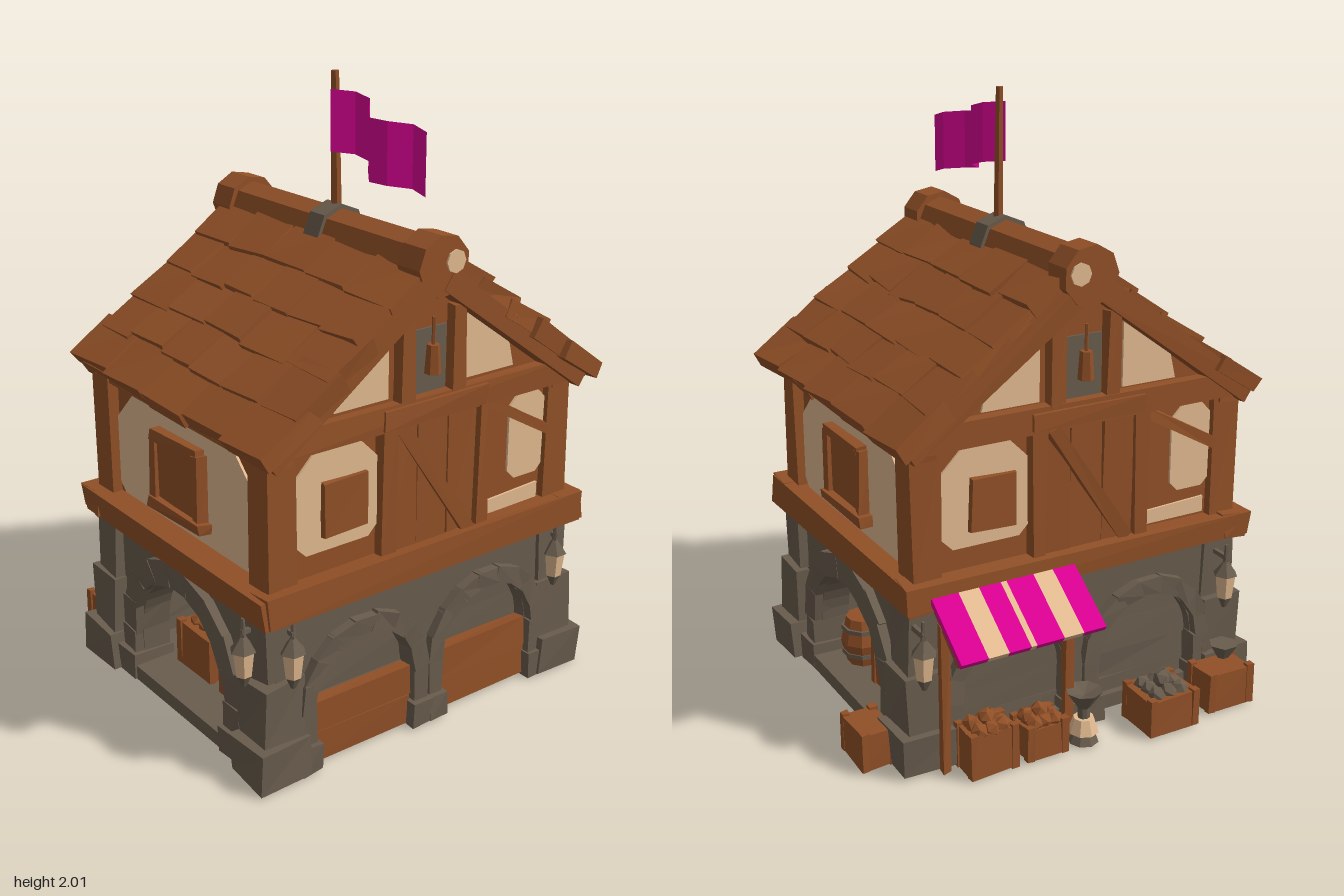
import * as THREE from 'three';

const mat = (name, color, side = THREE.FrontSide) => {
  const m = new THREE.MeshStandardMaterial({ color, side });
  m.name = name;
  return m;
};

export function createModel() {
  const wood = mat('wood', 0x915027), stone = mat('stone', 0x695c4d), cream = mat('plaster', 0xe2ba90);
  const pink = mat('magenta cloth', 0xd90092, THREE.DoubleSide);
  let seed = 7;
  const rnd = () => (seed = (seed * 16807) % 2147483647) / 2147483647;
  const jit = (a) => (rnd() - 0.5) * 2 * a;

  const group = (name, parent, x = 0, y = 0, z = 0, ry = 0) => {
    const g = new THREE.Group();
    g.name = name;
    g.position.set(x, y, z);
    g.rotation.y = ry;
    parent.add(g);
    return g;
  };
  const add = (name, parent, geo, m, x = 0, y = 0, z = 0, rx = 0, ry = 0, rz = 0) => {
    const flat = geo.index ? geo.toNonIndexed() : geo;
    flat.computeVertexNormals();
    const mesh = new THREE.Mesh(flat, m);
    mesh.name = name;
    mesh.position.set(x, y, z);
    mesh.rotation.set(rx, ry, rz);
    parent.add(mesh);
    return mesh;
  };
  // Hand-hewn box: each corner is nudged a little
  const box = (name, parent, m, w, h, d, x, y, z, rot = [0, 0, 0], wob = 0.005) => {
    const geo = new THREE.BoxGeometry(w, h, d), p = geo.attributes.position;
    const off = Array.from({ length: 8 }, () => [jit(wob), jit(wob), jit(wob)]);
    for (let i = 0; i < p.count; i++) {
      const o = off[(p.getX(i) > 0) + 2 * (p.getY(i) > 0) + 4 * (p.getZ(i) > 0)];
      p.setXYZ(i, p.getX(i) + o[0], p.getY(i) + o[1], p.getZ(i) + o[2]);
    }
    return add(name, parent, geo, m, x, y, z, ...rot);
  };
  const cyl = (name, parent, m, r1, r2, h, sides, x, y, z, rot = [0, 0, 0]) =>
    add(name, parent, new THREE.CylinderGeometry(r1, r2, h, sides), m, x, y, z, ...rot);
  const plate = (name, parent, m, pts, z, depth = 0.008) =>
    add(name, parent, new THREE.ExtrudeGeometry(
      new THREE.Shape(pts.map((p) => new THREE.Vector2(...p))), { depth, bevelEnabled: false }), m, 0, 0, z);
  // Rectangle with cut corners: c at the bottom, t at the top
  const octagon = (x0, x1, y0, y1, c, t) => [[x0 + c, y0], [x1 - c, y0], [x1, y0 + c], [x1, y1 - t],
    [x1 - t, y1], [x0 + t, y1], [x0, y1 - t], [x0, y0 + c]];

  const root = new THREE.Group();
  root.name = 'marketHouse';
  const house = group('house', root, 0.072, 0, 0.035);

  // Ground floor: arched walls, built facing local +z
  const archWall = (name, half, dist, ry, arches, r, spring, ringW) => {
    const g = group(name, house, 0, 0, 0, ry);
    const s = new THREE.Shape();
    s.moveTo(-half, 0);
    for (const c of arches) {
      s.lineTo(c - r, 0);
      s.lineTo(c - r, spring);
      s.absarc(c, spring, r, Math.PI, 0, true);
      s.lineTo(c + r, 0);
    }
    s.lineTo(half, 0);
    s.lineTo(half, 0.56);
    s.lineTo(-half, 0.56);
    add('wall', g, new THREE.ExtrudeGeometry(s, { depth: 0.1, bevelEnabled: false, curveSegments: 10 }), stone, 0, 0, dist - 0.1);
    for (const c of arches) {
      const n = 9, R = r + ringW / 2;
      for (let i = 0; i < n; i++) {
        const a = (i + 0.5) / n * Math.PI;
        box('archStone', g, stone, ringW, R * Math.PI / n + 0.02, 0.13, c + R * Math.cos(a), spring + R * Math.sin(a), dist - 0.035, [0, 0, a]);
      }
      for (const k of [-1, 1]) {
        box('jamb', g, stone, ringW, spring, 0.13, c + k * R, spring / 2, dist - 0.035);
        box('jambFoot', g, stone, ringW + 0.02, 0.09, 0.15, c + k * R, 0.045, dist - 0.03);
      }
    }
    return g;
  };
  for (const ry of [0, Math.PI]) archWall('mainArch', 0.48, 0.58, ry, [0], 0.265, 0.17, 0.08);
  for (const k of [-1, 1]) {
    const g = archWall('sideArches', 0.57, 0.49, k * Math.PI / 2, [-0.25, 0.25], 0.19, 0.21, 0.055);
    for (const c of [-0.25, 0.25]) {
      for (let i = 0; i < 4; i++) box('infillStone', g, stone, 0.4, 0.105, 0.06, c, 0.053 + i * 0.1, 0.42 + jit(0.006));
      for (let i = 0; k > 0 && i < 2; i++) box('plank', g, wood, 0.38, 0.105, 0.05, c, 0.055 + i * 0.105, 0.47);
    }
  }
  box('floor', house, stone, 0.96, 0.05, 1.24, 0, 0.026, 0, [0, 0, 0], 0);
  box('ceiling', house, wood, 0.96, 0.05, 1.14, 0, 0.53, 0, [0, 0, 0], 0);
  // Stepped corner piers
  for (const sx of [-1, 1]) for (const sz of [-1, 1])
    [[0.18, 0.13, 0, 0.54, 0.655], [0.15, 0.2, 0.13, 0.515, 0.63], [0.13, 0.22, 0.33, 0.5, 0.61]].forEach(([w, h, y, ex, ez]) =>
      box('cornerPier', house, stone, w, h, w, sx * (ex - w / 2), y + h / 2, sz * (ez - w / 2), [0, 0, 0], 0.008));

  // Upper floor: core, sill and top beams, posts
  box('upperWall', house, wood, 0.94, 0.5, 1.12, 0, 0.8, 0, [0, 0, 0], 0);
  for (const s of [-1, 1]) {
    box('sillBeam', house, wood, 1.06, 0.09, 0.1, 0, 0.585, s * 0.585, [0, 0, 0], 0.01);
    box('sillBeamSide', house, wood, 0.1, 0.09, 1.26, s * 0.485, 0.585, 0, [0, 0, 0], 0.01);
    box('topBeam', house, wood, 1.0, 0.06, 0.08, 0, 1.04, s * 0.555);
    box('topBeamSide', house, wood, 0.08, 0.08, 1.16, s * 0.47, 1.07, 0);
    for (const k of [-1, 1]) box('cornerPost', house, wood, 0.1, 0.46, 0.1, k * 0.445, 0.82, s * 0.545);
  }
  // Long faces: plaster and shuttered window
  for (const ry of [0, Math.PI]) {
    const g = group('longFace', house, 0, 0, 0, ry);
    plate('plaster', g, cream, octagon(-0.39, 0.39, 0.635, 1.025, 0.03, 0.13), 0.56);
    box('shutter', g, wood, 0.25, 0.23, 0.03, 0, 0.82, 0.575);
    box('lintel', g, wood, 0.26, 0.035, 0.05, 0, 0.93, 0.58);
    box('windowSill', g, wood, 0.3, 0.035, 0.06, 0.01, 0.70, 0.585);
    for (const k of [-1, 1]) box('shutterFrame', g, wood, 0.035, 0.24, 0.045, k * 0.125, 0.81, 0.58);
  }

  // Gable prism
  const tri = new THREE.Shape([[-0.57, 1.03], [0.57, 1.03], [0, 1.46]].map((p) => new THREE.Vector2(...p)));
  add('gable', house, new THREE.ExtrudeGeometry(tri, { depth: 0.94, bevelEnabled: false }), wood, -0.47, 0, 0, 0, Math.PI / 2);
  // Gable faces: panels, boarded door, hatch with hanging lamp
  for (const k of [-1, 1]) {
    const g = group('gableFace', house, 0, 0, 0, k * Math.PI / 2);
    plate('plasterWindowSide', g, cream, octagon(-0.49, -0.18, 0.7, 1.025, 0.04, 0.08), 0.47);
    box('window', g, wood, 0.16, 0.17, 0.03, -0.315, 0.835, 0.48);
    plate('plasterFar', g, cream, octagon(0.345, 0.5, 0.73, 1.02, 0.03, 0.04), 0.47);
    plate('plasterLow', g, cream, [[0.22, 0.635], [0.48, 0.635], [0.48, 0.69], [0.22, 0.68]], 0.47);
    for (let i = 0; i < 3; i++) box('doorBoard', g, wood, 0.115, 0.44, 0.03, -0.11 + i * 0.12, 0.84, 0.48);
    box('doorBrace', g, wood, 0.04, 0.5, 0.02, 0.02, 0.83, 0.502, [0, 0, 0.6]);
    box('doorLintel', g, wood, 0.4, 0.06, 0.06, 0.01, 1.07, 0.49);
    for (const u of [-0.165, 0.21]) box('doorPost', g, wood, 0.05, 0.46, 0.05, u, 0.84, 0.485);
    box('longBrace', g, wood, 0.035, 0.3, 0.03, 0.37, 0.95, 0.485, [0, 0, 1.05]);
    plate('hatch', g, stone, [[-0.07, 1.11], [0.07, 1.11], [0.07, 1.31], [-0.07, 1.31]], 0.47);
    cyl('hatchLamp', g, wood, 0.02, 0.026, 0.09, 6, 0, 1.22, 0.5);
    cyl('hatchLampCord', g, wood, 0.006, 0.006, 0.1, 5, 0, 1.3, 0.5);
    for (const s of [-1, 1]) {
      const pts = [[0.15, 1.12], [0.35, 1.12], [0.33, 1.2], [0.15, 1.33]].map(([u, y]) => [s * u, y]);
      plate('gablePlaster', g, cream, s > 0 ? pts : pts.reverse(), 0.47);
      box('kingPost', g, wood, 0.05, 0.27, 0.05, s * 0.1, 1.24, 0.485);
      box('rafter', g, wood, 0.72, 0.07, 0.07, s * 0.32, 1.25, 0.5, [0, 0, -s * 0.627]);
    }
  }

  // Roof: sheathing, overlapping shingles, ridge log
  const roof = group('roof', house, 0.01, 0, -0.01);
  const slope = 0.627;
  for (const s of [-1, 1]) {
    box('sheathing', roof, wood, 1.03, 0.035, 0.72, 0, 1.26, s * 0.335, [s * slope, 0, 0], 0);
    for (let row = 0; row < 5; row++) {
      const t = (row + 0.42) / 5, half = 0.515 + 0.055 * t * t, n = 5 + (row % 2), w = 2 * half / n;
      for (let i = 0; i < n; i++)
        box('shingle', roof, wood, w - 0.004, 0.06, 0.19 + jit(0.012), -half + (i + 0.5) * w,
          1.487 - 0.425 * t + jit(0.005), s * (0.06 + 0.57 * t), [s * (slope - 0.07), jit(0.03), jit(0.03)], 0.009);
    }
  }
  const alongX = [0, 0, Math.PI / 2];
  cyl('ridgeLog', roof, wood, 0.083, 0.083, 1.02, 8, -0.015, 1.5, 0, alongX);
  for (const s of [-1, 1]) {
    cyl('ridgeEnd', roof, wood, 0.096, 0.096, 0.1, 9, s * 0.485 - 0.015, 1.505, 0, alongX);
    cyl('ridgeCutFace', roof, cream, 0.036, 0.036, 0.008, 8, s * 0.537 - 0.015, 1.515, -0.04, alongX);
  }

  // Flag and the stone clamp that hugs the ridge
  cyl('clamp', roof, stone, 0.094, 0.094, 0.075, 8, -0.002, 1.503, 0, alongX);
  const flag = group('flag', root, 0.08, 0, 0.02);
  cyl('pole', flag, wood, 0.013, 0.018, 0.46, 6, 0, 1.77, 0, [0, 0, 0.02]);
  const cloth = new THREE.PlaneGeometry(0.37, 0.19, 7, 1), cp = cloth.attributes.position;
  for (let i = 0; i < cp.count; i++) {
    const u = cp.getX(i) / 0.37 + 0.5;
    cp.setY(i, cp.getY(i) - 0.085 * u + 0.006 * Math.sin(u * 9));
    cp.setZ(i, 0.01 - 0.045 * Math.sin(u * 9 - 0.6));
  }
  add('cloth', flag, cloth, pink, 0.205, 1.855, 0);

  // Lanterns on the corner piers
  const lantern = (x, z, dx, dz) => {
    const g = group('lantern', root, x, 0, z);
    cyl('lampGlass', g, cream, 0.036, 0.026, 0.085, 6, 0, 0.39, 0);
    cyl('lampCap', g, stone, 0.008, 0.042, 0.045, 6, 0, 0.452, 0);
    cyl('lampFoot', g, stone, 0.026, 0.008, 0.04, 6, 0, 0.33, 0);
    box('bracket', g, stone, 0.015 + Math.abs(dx), 0.015, 0.015 + Math.abs(dz), -dx / 2, 0.49, -dz / 2, [0, 0, 0], 0.002);
    cyl('hook', g, stone, 0.006, 0.01, 0.06, 5, 0, 0.505, 0);
  };
  lantern(0.49, 0.67, 0, 0.06);
  lantern(0.585, 0.56, 0.05, 0);
  lantern(0.585, -0.51, 0.05, 0);
  lantern(-0.49, 0.56, -0.06, 0);
  lantern(-0.49, -0.56, -0.06, 0);

  // Striped awning with arms and posts
  const awning = group('awning', root, -0.555, 0.515, -0.27);
  const edges = [-0.25, -0.16, -0.09, -0.015, 0.005, 0.1, 0.17, 0.25];
  for (let i = 0; i < 7; i++)
    box('awningStripe', awning, i % 2 ? cream : pink, 0.23, 0.02, edges[i + 1] - edges[i], 0, 0,
      (edges[i] + edges[i + 1]) / 2, [0, 0, 0.62], 0);
  for (const s of [-1, 1]) {
    box('awningArm', awning, wood, 0.2, 0.035, 0.03, 0.02, -0.025, s * 0.22, [0, 0, 0.62]);
    box('stallPost', awning, wood, 0.03, 0.5, 0.03, 0.07, -0.26, s * 0.22);
  }

  // Crates, barrel and goods
  const crate = (x, y, z, w, h, d, goods) => {
    const g = group('crate', root, x, y, z);
    box('crateBody', g, wood, w, h, d, 0, h / 2, 0);
    for (const sx of [-1, 1]) for (const sz of [-1, 1])
      box('crateCorner', g, wood, 0.025, h + 0.01, 0.025, sx * (w / 2 - 0.008), h / 2 + 0.005, sz * (d / 2 - 0.008), [0, 0, 0], 0.002);
    for (let i = 0; goods && i < 9; i++)
      add('goods', g, new THREE.IcosahedronGeometry(0.03, 0), goods,
        ((i % 3) - 1) * w * 0.25, h + 0.005 + (i === 4 ? 0.025 : 0), (Math.floor(i / 3) - 1) * d * 0.25, rnd() * 3, rnd() * 3);
  };
  crate(-0.555, 0, 0.265, 0.16, 0.12, 0.18, stone);
  crate(-0.545, 0, 0.515, 0.12, 0.13, 0.17, null);
  crate(-0.28, 0, -0.655, 0.16, 0.12, 0.11, null);
  crate(-0.51, 0, -0.36, 0.11, 0.14, 0.16, wood);
  crate(-0.51, 0, -0.17, 0.11, 0.11, 0.14, wood);
  crate(-0.03, 0.05, 0.42, 0.19, 0.15, 0.2, wood);
  crate(-0.12, 0.05, 0.18, 0.18, 0.15, 0.22, wood);
  crate(0.22, 0.05, 0.4, 0.19, 0.12, 0.24, wood);
  crate(0.22, 0.05, 0.12, 0.19, 0.12, 0.22, wood);
  crate(-0.03, 0.05, -0.38, 0.18, 0.15, 0.2, wood);
  const barrel = [[0, 0], [0.06, 0], [0.08, 0.08], [0.06, 0.17], [0, 0.17]].map((p) => new THREE.Vector2(...p));
  add('barrel', root, new THREE.LatheGeometry(barrel, 9), wood, 0.22, 0.05, -0.44);
  for (const y of [0.09, 0.18]) cyl('barrelHoop', root, stone, 0.076, 0.076, 0.015, 9, 0.22, y, -0.44);

  // Weighing pedestal with a shallow bowl, and a small bowl at the corner
  const bowl = [[0, 0], [0.05, 0], [0.02, 0.06], [0.02, 0.12], [0.06, 0.18], [0, 0.16]].map((p) => new THREE.Vector2(...p));
  add('pedestal', root, new THREE.LatheGeometry(bowl, 8), stone, -0.535, 0, -0.02);
  cyl('pedestalBand', root, cream, 0.034, 0.05, 0.05, 8, -0.535, 0.06, -0.02);
  cyl('cornerBowl', root, stone, 0.05, 0.02, 0.05, 6, -0.51, 0.16, 0.55);
  return root;
}
